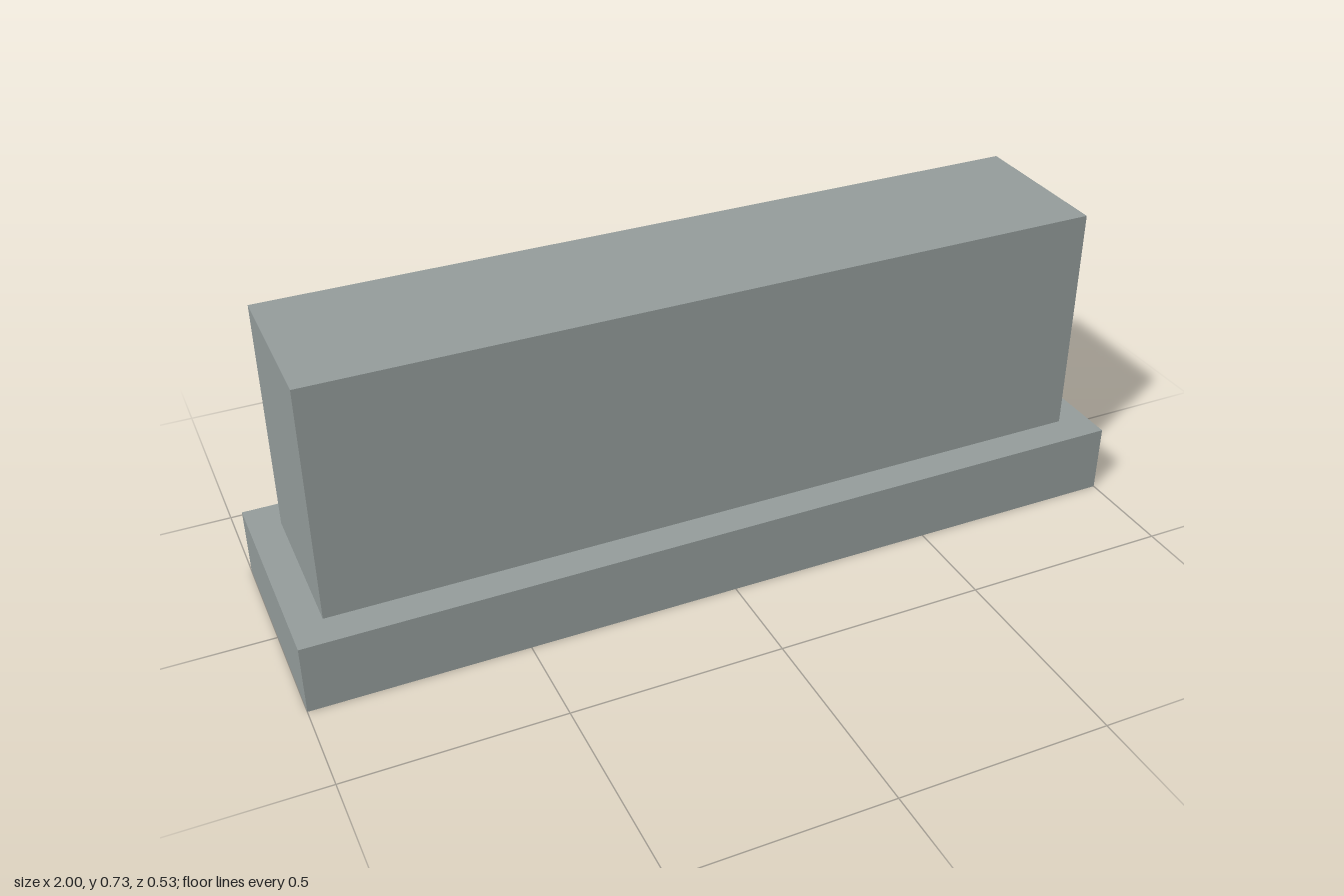
import * as THREE from 'three';

export function createModel() {
  const model = new THREE.Group();
  const stone = new THREE.MeshStandardMaterial({ color: 0x959d9c });
  stone.name = 'grey stone';
  const brass = new THREE.MeshStandardMaterial({ color: 0xb39a61 });
  brass.name = 'brass';

  // Box centred on x, given its bottom and z centre
  const addBox = (name, material, width, height, depth, bottom, z = 0) => {
    const mesh = new THREE.Mesh(new THREE.BoxGeometry(width, height, depth), material);
    mesh.name = name;
    mesh.position.set(0, bottom + height / 2, z);
    model.add(mesh);
  };

  // Wide plinth with the narrower block standing on it
  addBox('plinth', stone, 2, 0.167, 0.534, 0);
  addBox('block', stone, 1.856, 0.562, 0.376, 0.167);

  // Trim strip along the top of the back face
  addBox('backTrim', brass, 1.556, 0.043, 0.012, 0.668, -0.194);

  return model;
}
